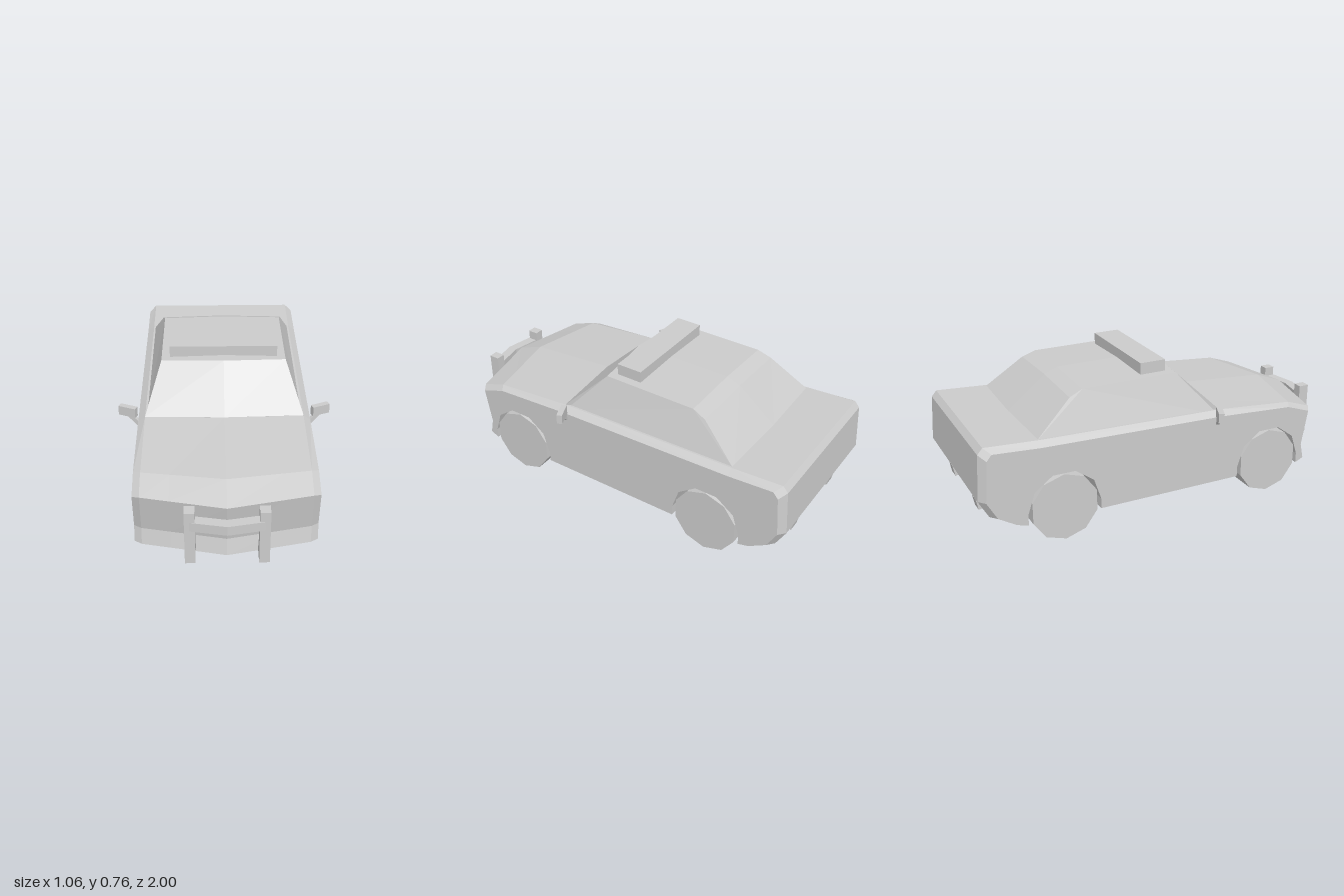
import * as THREE from 'three';

const grey = new THREE.MeshStandardMaterial({ color: 0xcccccc, flatShading: true });
const clamp = THREE.MathUtils.clamp;

function part(parent, name, geometry, x = 0, y = 0, z = 0) {
  const mesh = new THREE.Mesh(geometry, grey);
  mesh.name = name;
  mesh.position.set(x, y, z);
  parent.add(mesh);
  return mesh;
}

// Side outline [z, y] swept across the width; rule(slice, y, z) places each point
function sweep(outline, slices, rule) {
  const shape = new THREE.Shape(outline.map(([z, y]) => new THREE.Vector2(-z, y)));
  const geo = new THREE.ExtrudeGeometry(shape, { depth: slices, steps: slices, bevelEnabled: false });
  const pos = geo.attributes.position;
  for (let i = 0; i < pos.count; i++) {
    pos.setXYZ(i, ...rule(Math.round(pos.getZ(i)), pos.getY(i), -pos.getX(i)));
  }
  geo.computeVertexNormals();
  return geo;
}

const WHEELS = [0.55, -0.59];
const WHEEL_Y = 0.163, ARCH_R = 0.185, FLOOR = 0.11;

// Half decagon arch, running from back to front
function arch(zc) {
  const points = [[zc - ARCH_R, FLOOR]];
  for (let k = 5; k >= 0; k--) {
    const a = k * Math.PI / 5;
    points.push([zc + ARCH_R * Math.cos(a), WHEEL_Y + ARCH_R * Math.sin(a)]);
  }
  points.push([zc + ARCH_R, FLOOR]);
  return points;
}

function bodyGeometry() {
  const xs = [-0.43, -0.395, -0.26, -0.26, 0, 0.26, 0.26, 0.395, 0.43];
  const outline = [
    [0.89, 0.13], [0.87, 0.21], [0.905, 0.41], [0.76, 0.465], [0.29, 0.5],
    [-0.7, 0.515], [-0.96, 0.53], [-0.985, 0.5], [-1, 0.27], [-0.95, 0.18], [-0.83, 0.125],
    ...arch(WHEELS[1]), ...arch(WHEELS[0]),
  ];
  return sweep(outline, 8, (i, y, z) => {
    const x = xs[i], t = Math.abs(x) / 0.395, outer = i === 0 || i === 8;
    // the arches stop at the inner wall of the wheel wells
    const inArch = WHEELS.some(zc => Math.hypot(z - zc, y - WHEEL_Y) < ARCH_R + 0.003);
    if (inArch) return [x, i > 2 && i < 6 ? FLOOR : y, z];
    let ny = y, nz = z;
    // pointed nose and bonnet
    if (z > 0.75 || (y > 0.4 && z > 0)) {
      nz -= t * 0.088 * clamp((z - 0.05) / 0.85, 0, 1);
      if (y > 0.42) ny -= 0.01 * Math.min(t, 1);
    }
    // bevelled shoulders and corners
    if (outer) {
      if (y > 0.48) ny -= 0.025;
      else if (y > 0.4) ny -= 0.013;
      if (z > 0.75) nz -= 0.015;
      if (z < -0.93) nz += 0.03;
    }
    return [x, ny, nz];
  });
}

function cabinGeometry() {
  const outline = [[0.29, 0.5], [0.08, 0.705], [-0.44, 0.703], [-0.51, 0.675], [-0.71, 0.512], [-0.71, 0.47], [0.29, 0.47]];
  return sweep(outline, 2, (i, y, z) => {
    const side = i - 1;
    const half = 0.395 - 0.08 * clamp((y - 0.5) / 0.2, 0, 1);
    return [side * half, y - (side ? 0.009 : 0), z - (side && z > 0 ? 0.027 : 0)];
  });
}

export function createModel() {
  const car = new THREE.Group();
  car.name = 'car';
  part(car, 'body', bodyGeometry());
  part(car, 'cabin', cabinGeometry());
  part(car, 'roofLightBar', new THREE.BoxGeometry(0.546, 0.065, 0.135), 0, 0.7225, -0.048);

  // Ten-sided wheels resting on a flat
  const wheelGeo = new THREE.CylinderGeometry(0.1715, 0.1715, 0.168, 10).rotateZ(Math.PI / 2);
  wheelGeo.rotateX(Math.PI / 2);
  for (const z of WHEELS) {
    for (const s of [-1, 1]) part(car, 'wheel', wheelGeo, s * 0.347, WHEEL_Y, z);
  }

  // Push bar with a pointed crosspiece
  const bar = new THREE.Group();
  bar.name = 'pushBar';
  car.add(bar);
  const chevron = new THREE.Shape([[0, 1], [-0.168, 0.968], [-0.168, 0.918], [0, 0.95], [0.168, 0.918], [0.168, 0.968]]
    .map(([x, z]) => new THREE.Vector2(x, -z)));
  const cross = new THREE.ExtrudeGeometry(chevron, { depth: 0.048, bevelEnabled: false }).rotateX(-Math.PI / 2);
  part(bar, 'pushBarCrosspiece', cross, 0, 0.336, 0);

  for (const s of [-1, 1]) {
    part(bar, 'pushBarUpright', new THREE.BoxGeometry(0.048, 0.28, 0.055), s * 0.167, 0.293, 0.94);
    part(bar, 'pushBarMount', new THREE.BoxGeometry(0.048, 0.05, 0.1), s * 0.167, 0.178, 0.88);

    // Door mirrors, swept back on slanted stalks
    const mirror = part(car, 'mirror', new THREE.BoxGeometry(0.092, 0.05, 0.028), s * 0.482, 0.5, 0.217);
    mirror.rotation.y = s * 0.4;
    const stalk = part(car, 'mirrorStalk', new THREE.BoxGeometry(0.085, 0.022, 0.018), s * 0.447, 0.458, 0.232);
    stalk.rotation.set(0, s * 0.3, s * 0.75);

    const exhaust = part(car, 'exhaust', new THREE.BoxGeometry(0.06, 0.06, 0.12), s * 0.2, 0.178, -0.9);
    exhaust.rotation.x = -0.2;
  }
  return car;
}
